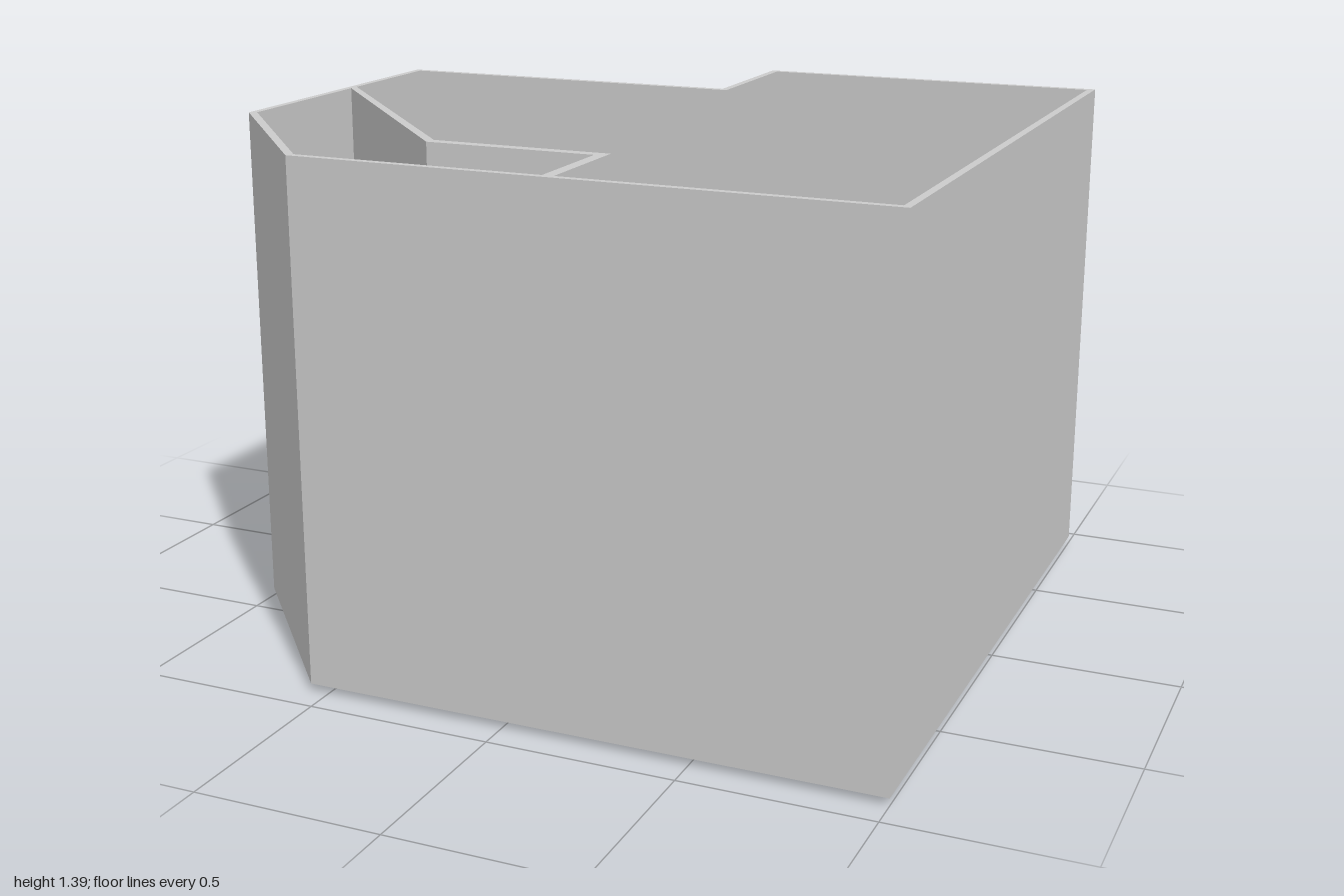
import * as THREE from 'three';

const BASE = 0.02, GROUND = 0.04, UPPER = 0.705, TOP = 1.395;

export function createModel() {
  const model = new THREE.Group();
  const material = new THREE.MeshStandardMaterial({ color: 0xcccccc, flatShading: true });

  const add = (name, geometry, parent = model) => {
    const mesh = new THREE.Mesh(geometry, material);
    mesh.name = name;
    parent.add(mesh);
    return mesh;
  };
  // Upright prism over a floor-plan polygon of [x, z] corners
  const prism = (plan, y0, y1) => {
    const shape = new THREE.Shape(plan.map(([x, z]) => new THREE.Vector2(x, -z)));
    return new THREE.ExtrudeGeometry(shape, { depth: y1 - y0, bevelEnabled: false })
      .rotateX(-Math.PI / 2).translate(0, y0, 0);
  };
  const block = (x0, x1, y0, y1, z0, z1) =>
    new THREE.BoxGeometry(x1 - x0, y1 - y0, z1 - z0)
      .translate((x0 + x1) / 2, (y0 + y1) / 2, (z0 + z1) / 2);

  // Plan outlines, both running from the back of the left wall round to its front
  const outer = [[-1, -0.5], [0.01, -0.5], [0.01, -0.92], [1, -0.92], [1, 0.92], [-0.55, 0.92], [-1, 0.41]];
  const inner = [[-0.98, -0.48], [0.03, -0.48], [0.03, -0.9], [0.98, -0.9], [0.98, 0.9], [-0.54, 0.9], [-0.98, 0.4]];

  add('groundFloor', prism(outer, BASE, GROUND));
  add('outerWalls', prism([...outer, ...[...inner].reverse()], BASE, TOP));

  // Side wall with the entrance doorway, drawn as (z, y) and turned to face -x
  const doorWall = new THREE.Shape([
    [-0.5, BASE], [-0.425, BASE], [-0.425, 0.43], [-0.11, 0.43], [-0.11, BASE],
    [0.41, BASE], [0.41, TOP], [-0.5, TOP],
  ].map(([z, y]) => new THREE.Vector2(z, y)));
  add('doorWall', new THREE.ExtrudeGeometry(doorWall, { depth: 0.02, bevelEnabled: false })
    .rotateY(-Math.PI / 2).translate(-0.98, 0, 0));

  // Upper floor, cut back around the stairwell
  add('upperFloor', prism([
    [0.03, -0.9], [0.44, -0.9], [0.44, -0.58], [0.65, -0.58], [0.65, -0.1], [0.98, -0.1],
    [0.98, 0.9], [-0.54, 0.9], [-0.98, 0.4], [-0.98, -0.48], [0.03, -0.48],
  ], UPPER - 0.02, UPPER));

  // Room partitions on both storeys
  add('upperPartition', prism([
    [-0.98, -0.11], [-0.33, 0.59], [0.155, 0.59], [0.155, 0.9],
    [0.125, 0.9], [0.125, 0.62], [-0.335, 0.62], [-0.98, -0.08],
  ], UPPER, TOP));
  add('lowerPartition', block(-0.98, 0.1, GROUND, UPPER - 0.02, 0.07, 0.1));

  // L-shaped staircase: six steps, a corner landing, three steps
  const stairs = new THREE.Group();
  stairs.name = 'stairs';
  model.add(stairs);
  const rise = (UPPER - GROUND) / 11;
  const tread = 0.08;
  for (let i = 0; i < 6; i++) {
    const z = -0.1 - i * tread;
    add('lowerStep', block(0.65, 0.96, GROUND, GROUND + (i + 1) * rise, z - tread, z), stairs);
  }
  add('landing', block(0.6, 0.96, GROUND, GROUND + 7 * rise, -0.9, -0.58), stairs);
  const edges = [0.6, 0.54, 0.49, 0.44];
  for (let i = 0; i < 3; i++) {
    add('upperStep', block(edges[i + 1], edges[i], GROUND, GROUND + (8 + i) * rise, -0.9, -0.58), stairs);
  }

  // Furniture on the ground floor, its feet sunk through the slab
  add('counter', block(-0.37, -0.1, 0, 0.2, 0.15, 0.27));
  add('table', block(0.26, 0.53, 0.012, 0.18, 0.32, 0.7));
  for (const x of [0.185, 0.6]) {
    for (const z of [0.425, 0.595]) {
      add('stool', block(x - 0.033, x + 0.033, 0.012, 0.12, z - 0.03, z + 0.03));
    }
  }

  return model;
}
